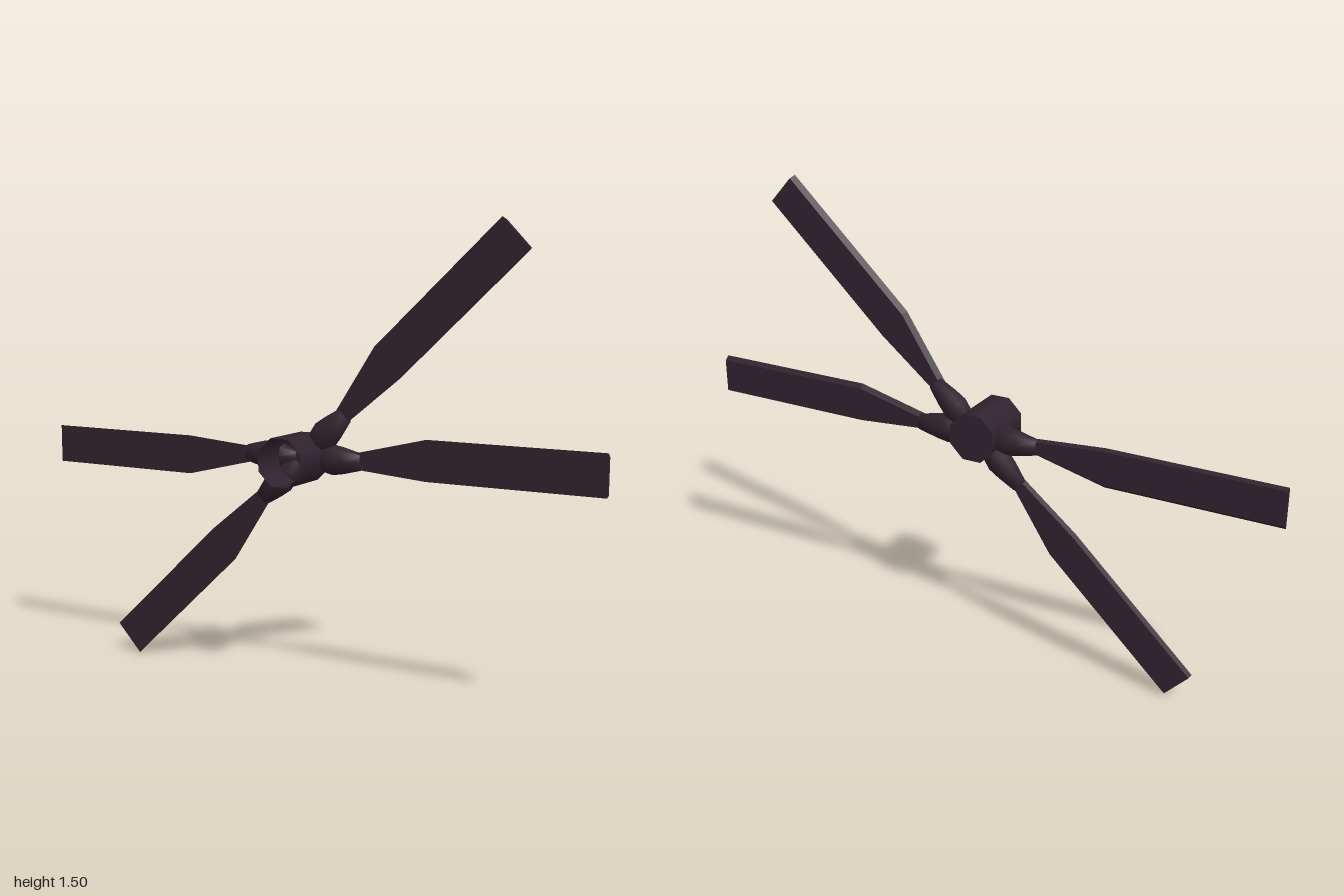
import * as THREE from 'three';

const HUB_Y = 0.75;
const ROTOR_Z = -0.055;

// Tapered blade along +x: narrow root, swept shoulder, straight outer part
function bladeGeometry() {
  const stations = [
    { u: 0.17, low: -0.022, high: 0.022 },
    { u: 0.437, low: -0.043, high: 0.087 },
    { u: 1.0, low: -0.043, high: 0.087 },
  ];
  const geo = new THREE.BoxGeometry(2, 1, 1, 2, 1, 1);
  const p = geo.attributes.position;
  for (let i = 0; i < p.count; i++) {
    const s = stations[Math.round(p.getX(i)) + 1];
    const back = p.getZ(i) < 0;
    // the back face is slightly narrower, giving chamfered long edges
    const v = p.getY(i) > 0 ? s.high - (back ? 0.013 : 0) : s.low + (back ? 0.006 : 0);
    p.setXYZ(i, s.u, v, back ? -0.008 : 0.008);
  }
  const flat = geo.toNonIndexed();
  flat.computeVertexNormals();
  return flat;
}

// Flattened spindle that grips the blade root
function socketGeometry() {
  const profile = [
    [0, 0.025], [0.02, 0.025], [0.042, 0.075], [0.05, 0.11], [0.043, 0.15], [0.028, 0.21], [0, 0.21],
  ].map(([r, u]) => new THREE.Vector2(r, u));
  const geo = new THREE.LatheGeometry(profile, 8);
  geo.rotateZ(-Math.PI / 2);
  geo.scale(1, 1, 0.63);
  return geo;
}

export function createModel() {
  const model = new THREE.Group();
  model.name = 'rotor';
  const dark = new THREE.MeshStandardMaterial({ color: 0x30242f, side: THREE.DoubleSide });
  dark.name = 'dark plum';

  const add = (parent, name, geo) => {
    const mesh = new THREE.Mesh(geo, dark);
    mesh.name = name;
    parent.add(mesh);
    return mesh;
  };

  // Hub: octagonal sleeve, open at the front and closed at the back
  const hub = new THREE.Group();
  hub.name = 'hub';
  hub.position.y = HUB_Y;
  model.add(hub);
  const radius = 0.083;
  const sleeve = new THREE.CylinderGeometry(radius, radius, 0.19, 8, 1, true);
  sleeve.rotateY(Math.PI / 8);
  sleeve.rotateX(Math.PI / 2);
  add(hub, 'hubSleeve', sleeve);
  const cap = new THREE.CircleGeometry(radius, 8);
  cap.rotateZ(Math.PI / 8);
  cap.rotateY(Math.PI);
  cap.translate(0, 0, -0.095);
  add(hub, 'hubBackCap', cap);

  // Two crossed pairs of blades with their sockets
  const blade = bladeGeometry();
  const socket = socketGeometry();
  [0, 43.5, 180, 223.5].forEach((degrees) => {
    const arm = new THREE.Group();
    arm.name = 'bladeArm';
    arm.position.set(0, HUB_Y, ROTOR_Z);
    arm.rotation.z = THREE.MathUtils.degToRad(degrees);
    add(arm, 'blade', blade);
    add(arm, 'bladeSocket', socket);
    model.add(arm);
  });
  return model;
}
